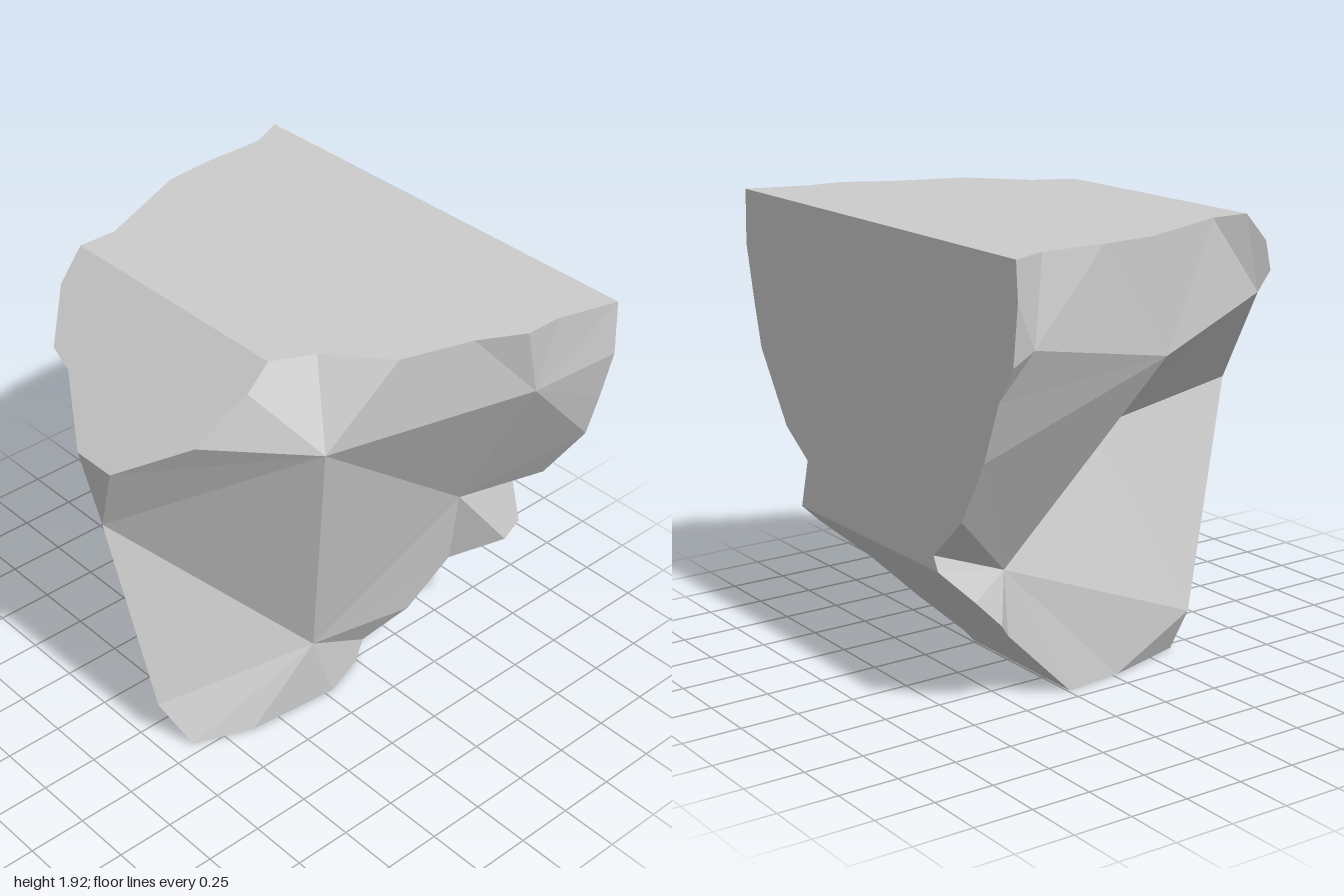
import * as THREE from 'three';

// Corners of each rim, named letter + index
const rims = {
  // front edge of the flat top
  a: [[-0.4, 1.92, 0.42], [-0.23, 1.92, 0.5], [-0.03, 1.92, 0.73], [0.27, 1.92, 0.82], [0.46, 1.92, 0.92], [0.62, 1.92, 0.92], [0.88, 1.92, 0.99]],
  // back edge of the flat top
  t: [[-0.4, 1.92, -0.71], [-0.23, 1.92, -0.71], [0.22, 1.92, -0.9], [0.45, 1.92, -0.92], [0.72, 1.92, -0.92], [0.88, 1.92, -0.99]],
  // front edge of the flat side, going up
  r: [[0.88, 0.64, 0.59], [0.88, 0.85, 0.53], [0.88, 0.96, 0.7], [0.88, 1.26, 0.9], [0.88, 1.46, 0.95], [0.88, 1.69, 1]],
  // back edge of the flat side, going down
  q: [[0.88, 1.77, -1], [0.88, 1.53, -0.97], [0.88, 1.39, -0.88], [0.88, 1.14, -0.78], [0.88, 0.88, -0.63], [0.88, 0.7, -0.43], [0.88, 0.64, -0.46]],
  // front and back edges of the sloping underside, going down
  d: [[0.81, 0.57, 0.58], [0.67, 0.43, 0.39], [0.47, 0.23, 0.35], [0.31, 0.07, 0.24]],
  g: [[0.74, 0.5, -0.505], [0.62, 0.38, -0.505], [0.54, 0.3, -0.43]],
  // front and back edges of the base
  b: [[-0.63, 0, 0.2], [-0.38, 0, 0.3], [0.04, 0, 0.34], [0.24, 0, 0.27]],
  h: [[0.24, 0, -0.43], [-0.02, 0, -0.4], [-0.39, 0, -0.29], [-0.58, 0, 0.06]],
  // edge of the sloping upper cut, front to back
  c: [[-0.5, 1.82, 0.42], [-0.69, 1.62, 0.34], [-0.88, 1.44, 0.06], [-0.88, 1.44, -0.14], [-0.71, 1.61, -0.41], [-0.68, 1.64, -0.54], [-0.52, 1.8, -0.69]],
};

// Peaks and hollows of the rough surfaces, and the two corners of the left ridge
const points = {
  A: [-0.31, 1.57, 0.64], B: [0.55, 1.61, 0.9], C: [0.65, 0.8, 0.45], D: [-0.08, 0.33, 0.34],
  K: [-0.54, 1.58, -0.625], L: [0.13, 1.46, -0.89], S: [0.78, 1.58, -0.96],
  M: [-0.04, 1, -0.19], O: [0.545, 0.57, -0.41], Q: [-0.41, 0.19, -0.38],
  G: [-0.82, 1.09, -0.09], H: [-0.72, 0.2, 0.09],
};
for (const [letter, rim] of Object.entries(rims)) rim.forEach((p, i) => { points[letter + i] = p; });

const corners = (names) => names.split(' ').map((n) => points[n]);

// Triangles from a hub point to a run of corners, counterclockwise from outside
function fan(hub, names) {
  const ring = corners(names), out = [];
  for (let i = 0; i + 1 < ring.length; i++) out.push(...points[hub], ...ring[i], ...ring[i + 1]);
  return out;
}

// Flat face filled from its outline; u and v are the axes it is laid out on
function cut(names, u, v, outward) {
  const ring = corners(names), out = [];
  const flat = ring.map((p) => new THREE.Vector2(p[u], p[v]));
  const normal = new THREE.Vector3(), facing = new THREE.Vector3(...outward);
  for (const tri of THREE.ShapeUtils.triangulateShape(flat, [])) {
    const [p0, p1, p2] = tri.map((i) => new THREE.Vector3(...ring[i]));
    normal.crossVectors(p1.clone().sub(p0), p2.clone().sub(p0));
    const order = normal.dot(facing) < 0 ? [p0, p2, p1] : [p0, p1, p2];
    order.forEach((p) => out.push(p.x, p.y, p.z));
  }
  return out;
}

export function createModel() {
  const model = new THREE.Group();
  model.name = 'rock';
  const material = new THREE.MeshStandardMaterial({ color: 0xcccccc, flatShading: true });

  function add(name, ...parts) {
    const geometry = new THREE.BufferGeometry();
    geometry.setAttribute('position', new THREE.Float32BufferAttribute(parts.flat(), 3));
    geometry.computeVertexNormals();
    const mesh = new THREE.Mesh(geometry, material);
    mesh.name = name;
    model.add(mesh);
  }

  // Rough front
  add('roughFront',
    fan('A', 'C B a3 a2 a1 a0 c0 c1 c2 G D C'),
    fan('B', 'C r3 r4 r5 a6 a5 a4 a3'),
    fan('C', 'd1 d0 r0 r1 r2 r3'),
    fan('D', 'G H b0 b1 b2 b3 d3 d2 d1 C'));

  // Rough back, wrapping round to the left ridge
  add('roughBack',
    fan('K', 'G c3 c4 c5 c6 t0 t1 L M G'),
    fan('L', 't1 t2 t3 S q2 q3 O M'),
    fan('S', 't3 t4 t5 q0 q1 q2'),
    fan('O', 'q3 q4 q5 q6 g0 g1 g2 h0 h1 Q M'),
    fan('Q', 'h1 h2 h3 b0 H G M'),
    fan('G', 'c2 c3'));

  // Flat cuts
  add('flatTop', cut('a0 a1 a2 a3 a4 a5 a6 t5 t4 t3 t2 t1 t0', 0, 2, [0, 1, 0]));
  add('flatSide', cut('a6 r5 r4 r3 r2 r1 r0 q6 q5 q4 q3 q2 q1 q0 t5', 2, 1, [1, 0, 0]));
  add('slopingUnderside', cut('r0 d0 d1 d2 d3 b3 h0 g2 g1 g0 q6', 2, 1, [1, -1, 0]));
  add('base', cut('b0 b1 b2 b3 h0 h1 h2 h3', 0, 2, [0, -1, 0]));
  add('slopingUpperCut', cut('a0 c0 c1 c2 c3 c4 c5 c6 t0', 2, 1, [-1, 1, 0]));

  return model;
}
